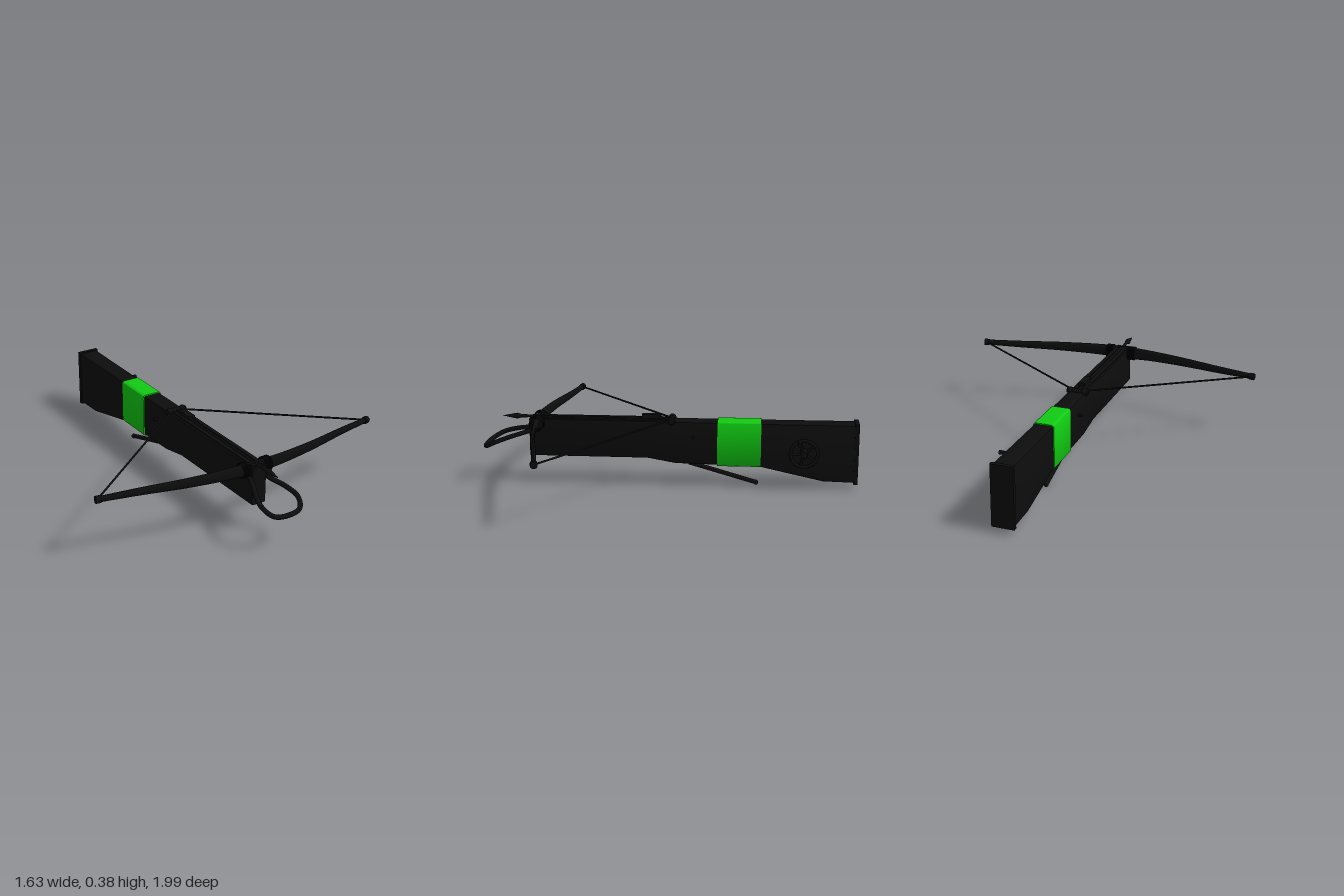
import * as THREE from 'three';
import { toCreasedNormals } from 'three/addons/utils/BufferGeometryUtils.js';

export function createModel() {
  const root = new THREE.Group();
  root.name = 'crossbow';
  const black = new THREE.MeshStandardMaterial({ color: 0x0d0d0d });
  black.name = 'black';
  const green = new THREE.MeshStandardMaterial({ color: 0x10cc12 });
  green.name = 'green';

  const V = (x, y, z) => new THREE.Vector3(x, y, z);
  const add = (name, geometry, material = black, parent = root) => {
    const mesh = new THREE.Mesh(geometry, material);
    mesh.name = name;
    parent.add(mesh);
    return mesh;
  };
  // straight round bar between two points
  const rod = (name, a, b, r0, r1 = r0, parent = root, sides = 12) => {
    const mesh = add(name, new THREE.CylinderGeometry(r1, r0, a.distanceTo(b), sides), black, parent);
    mesh.position.copy(a).add(b).multiplyScalar(0.5);
    mesh.quaternion.setFromUnitVectors(V(0, 1, 0), b.clone().sub(a).normalize());
    return mesh;
  };
  const box = (name, w, h, d, x, y, z) =>
    add(name, new THREE.BoxGeometry(w, h, d)).position.set(x, y, z);

  // Stock: side profile (z, y) extruded across x, narrowing toward the front
  const profile = [
    [0.74, 0.15], [0.74, 0.352], [0, 0.352], [-0.26, 0.35], [-0.49, 0.35], [-0.99, 0.35],
    [-0.99, 0.038], [-0.82, 0.042], [-0.62, 0.085], [-0.49, 0.114], [-0.26, 0.12], [-0.04, 0.124], [0.11, 0.15],
  ];
  const bevel = 0.008;
  const stockGeo = new THREE.ExtrudeGeometry(
    new THREE.Shape(profile.map(([z, y]) => new THREE.Vector2(z, y))),
    { depth: 2 - bevel * 2, bevelThickness: bevel, bevelSize: bevel, bevelOffset: -bevel, bevelSegments: 2 });
  stockGeo.translate(0, 0, -1 + bevel).rotateY(-Math.PI / 2);
  const p = stockGeo.attributes.position;
  for (let i = 0; i < p.count; i++) {
    const half = THREE.MathUtils.mapLinear(p.getZ(i), -1, 0.74, 0.054, 0.042);
    const x = p.getX(i);
    // keep the bevel depth while narrowing the body
    p.setX(i, Math.sign(x) * (half - (1 - Math.abs(x))));
  }
  add('stock', toCreasedNormals(stockGeo, 0.6));

  // Butt plate
  box('buttPlate', 0.118, 0.325, 0.022, 0, 0.194, -0.989);

  // Rails on both sides of the bolt groove
  for (const s of [-1, 1]) box('grooveRail', 0.022, 0.01, 0.72, s * 0.022, 0.355, 0.37);

  // Green band wrapped round the stock
  const w = 0.056, y0 = 0.113, y1 = 0.357, r = 0.016;
  const bandShape = new THREE.Shape();
  bandShape.moveTo(-w + r, y0).lineTo(w - r, y0);
  bandShape.absarc(w - r, y0 + r, r, -Math.PI / 2, 0);
  bandShape.absarc(w - r, y1 - r, r, 0, Math.PI / 2);
  bandShape.absarc(-w + r, y1 - r, r, Math.PI / 2, Math.PI);
  bandShape.absarc(-w + r, y0 + r, r, Math.PI, Math.PI * 1.5);
  const bandGeo = new THREE.ExtrudeGeometry(bandShape, { depth: 0.23, bevelEnabled: false, curveSegments: 6 });
  bandGeo.translate(0, 0, -0.49);
  add('band', toCreasedNormals(bandGeo, 0.6), green);

  // Bow: one curved tube whose height tapers toward the tips
  const bowY = 0.332;
  const bowCurve = new THREE.CatmullRomCurve3(
    [[-0.8, 0.575], [-0.6, 0.612], [-0.35, 0.665], [-0.12, 0.695], [0.12, 0.695], [0.35, 0.665], [0.6, 0.612], [0.8, 0.575]]
      .map(([x, z]) => V(x, bowY, z)));
  const bowGeo = new THREE.TubeGeometry(bowCurve, 48, 0.012, 16);
  const q = bowGeo.attributes.position;
  for (let i = 0; i < q.count; i++) {
    const t = Math.min(1, Math.abs(q.getX(i)) / 0.8);
    q.setY(i, bowY + (q.getY(i) - bowY) * THREE.MathUtils.lerp(3, 1.25, t));
  }
  bowGeo.computeVertexNormals();
  add('bow', bowGeo);

  for (const s of [-1, 1]) {
    // Tip caps and string
    rod('bowTip', V(s * 0.785, bowY, 0.578), V(s * 0.81, bowY, 0.573), 0.019);
    rod('string', V(s * 0.8, bowY, 0.575), V(s * 0.035, 0.356, -0.005), 0.005, 0.005, root, 8);
    // Lashings where the bow meets the stock
    for (let i = 0; i < 4; i++) {
      const ring = add('lashing', new THREE.TorusGeometry(0.036, 0.004, 6, 20));
      ring.rotation.y = Math.PI / 2;
      ring.position.set(s * (0.048 + i * 0.011), bowY, 0.695);
    }
    // Nut knobs
    add('nutKnob', new THREE.SphereGeometry(0.021, 16, 12)).position.set(s * 0.04, 0.353, -0.018);
  }
  rod('stringNut', V(-0.058, 0.354, -0.018), V(0.058, 0.354, -0.018), 0.014);
  rod('crossPin', V(-0.068, 0.27, -0.13), V(0.068, 0.27, -0.13), 0.007);

  // Bolt clip on top of the stock
  box('boltClip', 0.036, 0.026, 0.1, 0, 0.368, 0.09);

  // Bolt with its pointed head
  rod('boltShaft', V(0, 0.357, 0), V(0, 0.357, 0.8), 0.007);
  const head = add('boltHead', new THREE.LatheGeometry(
    [[0, 0], [0.009, 0], [0.009, 0.03], [0.016, 0.055], [0, 0.135]].map(([a, b]) => new THREE.Vector2(a, b)), 12));
  head.rotation.x = Math.PI / 2;
  head.position.set(0, 0.357, 0.755);

  // Foot stirrup
  const right = [[0.04, 0.295, 0.71], [0.055, 0.282, 0.76], [0.09, 0.262, 0.84], [0.105, 0.238, 0.91], [0.075, 0.208, 0.965]];
  const stirrup = [...right.map((a) => V(...a)), V(0, 0.2, 0.979),
    ...right.reverse().map(([x, y, z]) => V(-x, y, z))];
  add('stirrup', new THREE.TubeGeometry(new THREE.CatmullRomCurve3(stirrup), 60, 0.0125, 10));

  // Trigger lever under the stock
  rod('triggerLever', V(0, 0.118, -0.11), V(0, 0.016, -0.465), 0.012);
  add('leverEnd', new THREE.SphereGeometry(0.0135, 12, 8)).position.set(0, 0.0145, -0.466);

  // Crank wheel on the left side
  const crank = new THREE.Group();
  crank.name = 'crank';
  crank.position.set(0.08, 0.2, -0.715);
  root.add(crank);
  const rim = add('crankRim', new THREE.TorusGeometry(0.071, 0.009, 10, 36), black, crank);
  rim.rotation.y = Math.PI / 2;
  rod('crankAxle', V(-0.05, 0, 0), V(0.02, 0, 0), 0.012, 0.012, crank);
  rod('crankHub', V(-0.03, 0, 0), V(0.026, 0, 0), 0.022, 0.018, crank, 16);
  for (let i = 0; i < 5; i++) {
    const a = 0.35 + (i * Math.PI * 2) / 5;
    rod('crankSpoke', V(0, 0, 0), V(0, Math.cos(a) * 0.07, Math.sin(a) * 0.07), 0.007, 0.007, crank, 8);
  }
  rod('crankHandle', V(0, 0.067, 0.024), V(0.07, 0.067, 0.024), 0.009, 0.011, crank);

  return root;
}
